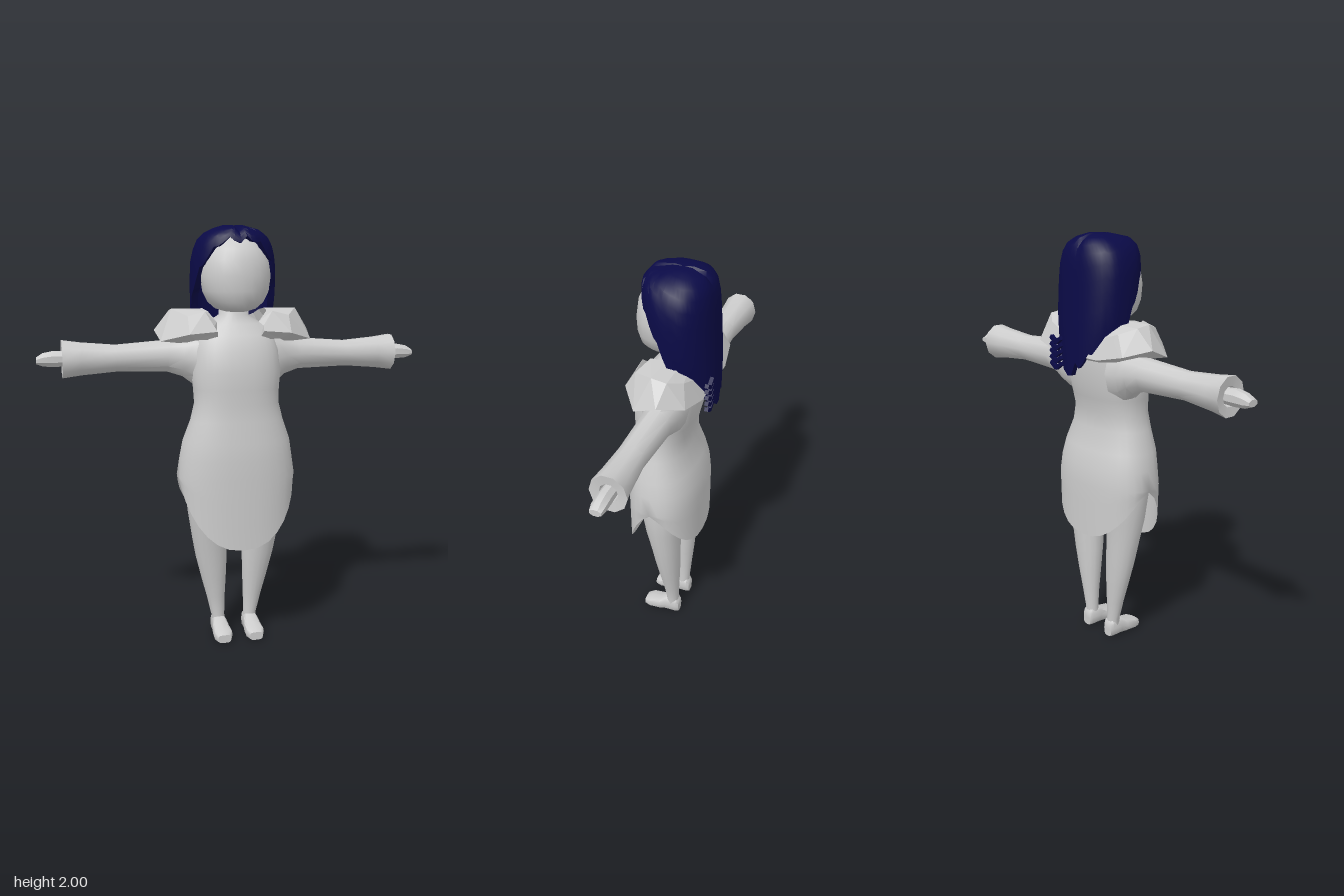
import * as THREE from 'three';
import { toCreasedNormals } from 'three/addons/utils/BufferGeometryUtils.js';

const grey = new THREE.MeshStandardMaterial({ color: 0xcccccc, side: THREE.DoubleSide });
grey.name = 'pale grey';
const navy = new THREE.MeshStandardMaterial({ color: 0x0a0a46, side: THREE.DoubleSide });
navy.name = 'navy hair';

// Piecewise linear lookup in a list of [key, value, value...] rows with rising keys
function lookup(rows, k) {
  if (k <= rows[0][0]) return rows[0].slice(1);
  for (let i = 1; i < rows.length; i++) {
    const a = rows[i - 1], b = rows[i];
    if (k <= b[0]) return a.slice(1).map((v, n) => v + (b[n + 1] - v) * (k - a[0]) / (b[0] - a[0]));
  }
  return rows[rows.length - 1].slice(1);
}

// Skin a list of closed rings of [x, y, z] points
function loft(name, rings, material, { crease = 1.1, capStart = false, capEnd = false } = {}) {
  const n = rings[0].length, pos = rings.flat(2), idx = [];
  for (let i = 0; i < rings.length - 1; i++) {
    for (let j = 0; j < n; j++) {
      const a = i * n + j, b = i * n + (j + 1) % n;
      idx.push(a, a + n, b + n, a, b + n, b);
    }
  }
  const cap = (ring, base, flip) => {
    const c = pos.length / 3;
    for (let k = 0; k < 3; k++) pos.push(ring.reduce((s, p) => s + p[k], 0) / n);
    for (let j = 0; j < n; j++) {
      const a = base + j, b = base + (j + 1) % n;
      idx.push(c, flip ? b : a, flip ? a : b);
    }
  };
  if (capStart) cap(rings[0], 0, false);
  if (capEnd) cap(rings[rings.length - 1], (rings.length - 1) * n, true);
  const g = new THREE.BufferGeometry();
  g.setAttribute('position', new THREE.Float32BufferAttribute(pos, 3));
  g.setIndex(idx);
  const mesh = new THREE.Mesh(toCreasedNormals(g, crease), material);
  mesh.name = name;
  return mesh;
}

const around = (n, f) => Array.from({ length: n }, (_, j) => f(j / n * Math.PI * 2));
const soft = (v, e) => Math.sign(v) * Math.abs(v) ** e;

// Horizontal ring with separate front and back reach
function level(y, w, zf, zb, { x = 0, n = 32, e = 0.85, zc = (zf + zb) / 2 } = {}) {
  return around(n, a => {
    const c = Math.cos(a);
    return [x + w * soft(Math.sin(a), e), y, zc + soft(c, e) * (c > 0 ? zf - zc : zc - zb)];
  });
}

function makeDress() {
  const rows = [
    [1.66, 0.066, 0.06, -0.07], [1.59, 0.07, 0.07, -0.08], [1.55, 0.13, 0.09, -0.1],
    [1.5, 0.185, 0.13, -0.12], [1.43, 0.205, 0.165, -0.12], [1.33, 0.215, 0.18, -0.115],
    [1.25, 0.205, 0.182, -0.095], [1.18, 0.202, 0.18, -0.078], [1.1, 0.222, 0.186, -0.078],
    [1.0, 0.258, 0.2, -0.11], [0.92, 0.272, 0.205, -0.132], [0.83, 0.286, 0.206, -0.138],
  ];
  const rings = rows.map(r => level(...r));
  // Pointed front and back flaps hang below the hips
  const hip = rings[rings.length - 1];
  for (const t of [0.33, 0.67, 1]) {
    rings.push(hip.map(([x, y, z], j) => {
      const c = Math.cos(j / hip.length * Math.PI * 2);
      return [x * (1 - 0.02 * t), y - t * (0.01 + (c > 0 ? 0.33 : 0.25) * Math.abs(c) ** 1.3), z];
    }));
  }
  return loft('dress', rings, grey, { crease: 1.4 });
}

function makeLeg() {
  const leg = new THREE.Group();
  leg.name = 'leg';
  // y, centre x, half width, front z, back z
  const rows = [
    [0.98, 0.125, 0.11, 0.13, -0.09], [0.8, 0.138, 0.112, 0.135, -0.09], [0.65, 0.138, 0.097, 0.11, -0.067],
    [0.52, 0.127, 0.087, 0.085, -0.06], [0.42, 0.117, 0.079, 0.07, -0.056], [0.3, 0.104, 0.062, 0.052, -0.05],
    [0.2, 0.093, 0.046, 0.037, -0.043], [0.1, 0.082, 0.033, 0.026, -0.037], [0.05, 0.08, 0.034, 0.03, -0.037],
  ];
  leg.add(loft('shin and thigh', rows.map(([y, x, w, f, b]) => level(y, w, f, b, { x, n: 16, e: 1 })), grey, { crease: 1.4 }));
  // z, half width, top
  const foot = [[-0.043, 0.026, 0.075], [-0.03, 0.035, 0.09], [0.025, 0.036, 0.09], [0.06, 0.043, 0.066],
    [0.115, 0.046, 0.055], [0.146, 0.033, 0.04]];
  leg.add(loft('foot', foot.map(([z, w, top]) => around(12, a =>
    [0.08 + w * soft(Math.sin(a), 0.6), 0.005 + top / 2 * (1 + soft(Math.cos(a), 0.6)), z])),
  grey, { crease: 0.8, capStart: true, capEnd: true }));
  return leg;
}

function makeArm() {
  const arm = new THREE.Group();
  arm.name = 'arm';
  const tube = (rows, n) => rows.map(([x, cy, ry, cz, rz]) =>
    around(n, a => [x, cy + ry * Math.cos(a + Math.PI / n), cz + rz * Math.sin(a + Math.PI / n)]));
  // The last rows fold back inside to make the hollow cuff
  arm.add(loft('sleeve', tube([
    [0.13, 1.385, 0.14, 0, 0.11], [0.2, 1.385, 0.125, -0.01, 0.1], [0.25, 1.395, 0.095, -0.02, 0.085],
    [0.32, 1.4, 0.077, -0.025, 0.072], [0.56, 1.395, 0.064, -0.02, 0.065], [0.72, 1.395, 0.078, -0.025, 0.074],
    [0.805, 1.395, 0.09, -0.03, 0.084], [0.8, 1.395, 0.045, -0.03, 0.042], [0.74, 1.395, 0.04, -0.03, 0.038],
  ], 10), grey, { crease: 0.66 }));
  arm.add(loft('hand', tube([
    [0.7, 1.395, 0.032, -0.03, 0.03], [0.84, 1.397, 0.039, -0.03, 0.033],
    [0.89, 1.394, 0.032, -0.03, 0.033], [0.92, 1.39, 0.016, -0.03, 0.028],
  ], 8), grey, { crease: 0.6, capEnd: true }));
  return arm;
}

// Faceted shoulder mantle: sections run inner, ridge, rim, underside
function makeMantle() {
  const sections = [
    [[0.1, 1.56, 0.08], [0.16, 1.61, 0.1], [0.11, 1.52, 0.145], [0.1, 1.48, 0.1]],
    [[0.14, 1.61, 0.07], [0.24, 1.59, 0.1], [0.24, 1.51, 0.15], [0.2, 1.48, 0.1]],
    [[0.15, 1.62, -0.01], [0.3, 1.62, 0], [0.36, 1.475, 0.06], [0.25, 1.46, 0.02]],
    [[0.14, 1.61, -0.07], [0.3, 1.61, -0.07], [0.375, 1.52, -0.05], [0.25, 1.46, -0.05]],
    [[0.12, 1.59, -0.1], [0.23, 1.58, -0.12], [0.29, 1.49, -0.15], [0.2, 1.45, -0.1]],
    [[0.07, 1.57, -0.12], [0.13, 1.55, -0.14], [0.15, 1.46, -0.175], [0.12, 1.44, -0.13]],
    [[0, 1.55, -0.12], [0, 1.53, -0.15], [0, 1.46, -0.175], [0, 1.44, -0.14]],
  ];
  return loft('shoulder mantle', sections, grey, { crease: 0.1, capStart: true });
}

function makeHead() {
  const rows = [[1.945, 0.03, 0.06, -0.06], [1.925, 0.09, 0.11, -0.09], [1.89, 0.13, 0.145, -0.11],
    [1.84, 0.156, 0.167, -0.12], [1.77, 0.165, 0.176, -0.12], [1.7, 0.155, 0.174, -0.115],
    [1.65, 0.13, 0.163, -0.1], [1.62, 0.095, 0.142, -0.08], [1.607, 0.05, 0.11, -0.04]];
  return loft('head', rows.map(r => level(...r, { n: 24, e: 0.95 })), grey, { crease: 1.4, capStart: true, capEnd: true });
}

function makeHair() {
  const hair = new THREE.Group();
  hair.name = 'hair';
  // Outer shape by height: y, half width, front z, back z
  const shape = [[1.345, 0.13, 0, -0.2], [1.5, 0.175, 0.02, -0.198], [1.6, 0.2, 0.08, -0.192], [1.75, 0.202, 0.12, -0.182],
    [1.85, 0.197, 0.14, -0.175], [1.91, 0.18, 0.147, -0.168], [1.95, 0.158, 0.14, -0.155],
    [1.98, 0.115, 0.115, -0.13], [2.0, 0.05, 0.02, -0.07]];
  // Length by angle from the front, in degrees
  const hem = [[0, 1.93], [25, 1.92], [40, 1.87], [62, 1.78], [80, 1.68], [92, 1.6], [102, 1.53],
    [125, 1.47], [150, 1.41], [165, 1.36], [180, 1.37]];
  const n = 48, rings = [];
  for (const t of [0, 0.03, 0.08, 0.15, 0.25, 0.37, 0.5, 0.65, 0.82, 1, 1.01]) {
    rings.push(around(n, a => {
      const deg = Math.abs((a * 180 / Math.PI + 180) % 360 - 180);
      const j = Math.round(a / Math.PI / 2 * n);
      let end = lookup(hem, a > Math.PI ? 360 - a * 180 / Math.PI : a * 180 / Math.PI)[0];
      if (j % 3 === 1) end += 0.02;                            // ragged tips
      if (a > Math.PI && Math.cos(a) < -0.6) end += 0.05;      // shorter on one side
      const y = 2 - (2 - end) * Math.min(t, 1);
      const [w, zf, zb] = lookup(shape, y);
      const c = Math.cos(a), s = Math.sin(a), zc = -0.03;
      const k = t > 1 ? 0.84 : 1;                              // last ring turns inward
      const part = Math.abs(s) < 0.05 && y > 1.88 ? 0.014 : 0; // centre parting
      return [w * k * soft(s, 0.85), y - part, zc + k * soft(c, 0.85) * (c > 0 ? zf - zc : zc - zb)];
    }));
  }
  hair.add(loft('hair shell', rings, navy, { crease: 0.6, capStart: true }));
  // Loose braided lock at the back
  for (let i = 0; i < 5; i++) {
    for (const s of [-1, 1]) {
      const strand = new THREE.Mesh(new THREE.BoxGeometry(0.045, 0.018, 0.018), navy);
      strand.name = 'braid strand';
      strand.position.set(0.11 + s * 0.018, 1.4 + i * 0.03, -0.193);
      strand.rotation.z = s * 0.6;
      hair.add(strand);
    }
  }
  return hair;
}

export function createModel() {
  const model = new THREE.Group();
  model.name = 'figure';
  model.add(makeDress(), makeHead(), makeHair());
  // Mirrored limbs and mantle halves
  for (const side of [1, -1]) {
    const half = new THREE.Group();
    half.name = side > 0 ? 'left side' : 'right side';
    half.scale.x = side;
    half.add(makeLeg(), makeArm(), makeMantle());
    model.add(half);
  }
  return model;
}
